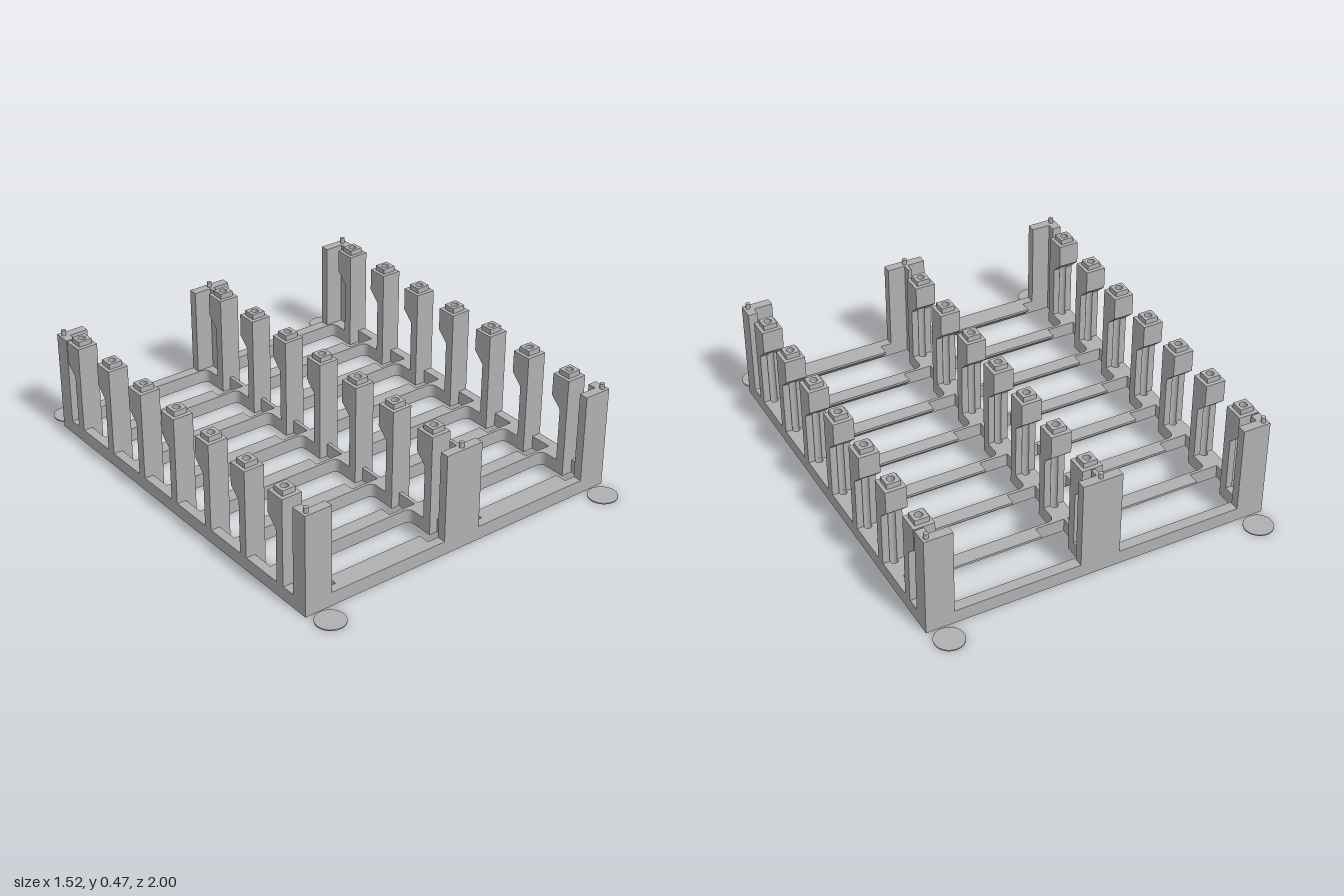
import * as THREE from 'three';

const W = 0.757, D = 0.866;            // half size of the frame
const RAIL = 0.06, POST = 0.447, TOP = 0.47;
const HOLE = 0.016, HALF = 0.045;      // bolt hole radius, half width of a post
const POST_X = [-0.713, 0, 0.713];
const POST_Z = Array.from({ length: 7 }, (_, i) => -0.739 + 0.237 * i);

const poly = (pts) => new THREE.Shape(pts.map(([x, z]) => new THREE.Vector2(x, z)));
const rect = (x0, z0, x1, z1) => poly([[x0, z0], [x1, z0], [x1, z1], [x0, z1]]);
const circle = (x, z, r) => new THREE.Path().absarc(x, z, r, 0, Math.PI * 2, true);

// Extrudes a plan (x, z) outline from y0 up to y1
function slab(shape, y0, y1) {
  const g = new THREE.ExtrudeGeometry(shape, { depth: y1 - y0, bevelEnabled: false, curveSegments: 12 });
  return g.rotateX(Math.PI / 2).translate(0, y1, 0);
}

// Opening between two cross bars, stepped around the post pads, s = side
function opening(zc, s) {
  const zb = zc - 0.08, zf = zc + 0.144, zp = zc + HALF, f = 0.032;
  const p = new THREE.Path();
  p.moveTo(s * (HALF + f), zb);
  p.lineTo(s * (0.668 - f), zb);
  p.quadraticCurveTo(s * 0.668, zb, s * 0.668, zb + f);
  p.lineTo(s * 0.668, zp);
  p.lineTo(s * 0.717, zp);
  p.lineTo(s * 0.717, zf);
  p.lineTo(s * 0.008, zf);
  p.lineTo(s * 0.008, zp);
  p.lineTo(s * HALF, zp);
  p.lineTo(s * HALF, zb + f);
  p.quadraticCurveTo(s * HALF, zb, s * (HALF + f), zb);
  return p;
}

export function createModel() {
  const model = new THREE.Group();
  const grey = new THREE.MeshStandardMaterial({ color: 0xb0b0b0 });
  grey.name = 'plain grey';
  const add = (name, geometry, x = 0, y = 0, z = 0, parent = model) => {
    const m = new THREE.Mesh(geometry, grey);
    m.name = name;
    m.position.set(x, y, z);
    parent.add(m);
    return m;
  };

  // Base grid with openings and bolt holes
  const base = rect(-W, -D, W, D);
  for (const z of POST_Z) {
    for (const s of [-1, 1]) base.holes.push(opening(z, s));
    for (const x of POST_X) base.holes.push(circle(x, z, HOLE));
  }
  add('baseFrame', slab(base, 0, RAIL));

  // Support ledges with a sloping underside, behind each cross bar
  const ledgeShape = poly([[0, 0], [0, RAIL], [-0.053, RAIL], [-0.053, 0.05]]);
  const ledge = new THREE.ExtrudeGeometry(ledgeShape, { depth: 0.45, bevelEnabled: false })
    .rotateY(-Math.PI / 2).translate(0.225, 0, 0);
  for (const z of POST_Z)
    for (const x of [-0.362, 0.362]) add('ledge', ledge, x, 0, z + 0.146);

  // Small post: grooved column, overhanging head, square collar
  const back = 0.004, a = Math.asin(back / HOLE);
  const columnPlan = new THREE.Shape();
  columnPlan.moveTo(-HALF, back);
  columnPlan.lineTo(-HALF, HALF);
  columnPlan.lineTo(HALF, HALF);
  columnPlan.lineTo(HALF, back);
  columnPlan.absarc(0, 0, HOLE, a, Math.PI - a, false);
  columnPlan.closePath();
  const column = slab(columnPlan, RAIL, 0.31);

  const headPlan = rect(-HALF, -HALF, HALF, HALF);
  headPlan.holes.push(circle(0, 0, HOLE));
  const head = slab(headPlan, 0.3, POST);
  const pos = head.attributes.position;
  for (let i = 0; i < pos.count; i++)      // slope the underside up towards the back
    if (pos.getY(i) < 0.31) pos.setY(i, 0.3 + (back - pos.getZ(i)) * 0.95);
  head.computeVertexNormals();

  const collarPlan = rect(-0.03, -0.028, 0.03, 0.028);
  collarPlan.holes.push(circle(0, 0, HOLE));
  const collar = slab(collarPlan, POST, TOP);

  for (const x of POST_X)
    for (const z of POST_Z) {
      const post = new THREE.Group();
      post.name = 'post';
      post.position.set(x, 0, z);
      add('postColumn', column, 0, 0, 0, post);
      add('postHead', head, 0, 0, 0, post);
      add('postCollar', collar, 0, 0, 0, post);
      model.add(post);
    }

  // Tall L-shaped corner posts and T-shaped middle posts, with pegs and foot discs
  const peg = new THREE.CylinderGeometry(0.01, 0.01, TOP - POST, 16);
  const disc = new THREE.CylinderGeometry(0.063, 0.063, 0.005, 32);
  const inner = D - 0.04, deep = D - 0.076;
  for (const f of [-1, 1]) {
    for (const s of [-1, 1]) {
      const plan = poly([[W, D], [0.635, D], [0.635, inner], [0.717, inner], [0.717, deep], [W, deep]]
        .map(([x, z]) => [x * s, z * f]));
      add('cornerPost', slab(plan, RAIL, POST));
      add('cornerPeg', peg, s * 0.737, (POST + TOP) / 2, f * 0.845);
      add('footDisc', disc, s * 0.695, 0.0025, f * 0.937);
    }
    const plan = poly([[-0.087, D], [0.087, D], [0.087, inner], [0.008, inner],
      [0.008, deep], [-0.008, deep], [-0.008, inner], [-0.087, inner]].map(([x, z]) => [x, z * f]));
    add('middlePost', slab(plan, RAIL, POST));
    add('middlePeg', peg, 0, (POST + TOP) / 2, f * 0.845);
  }
  return model;
}
